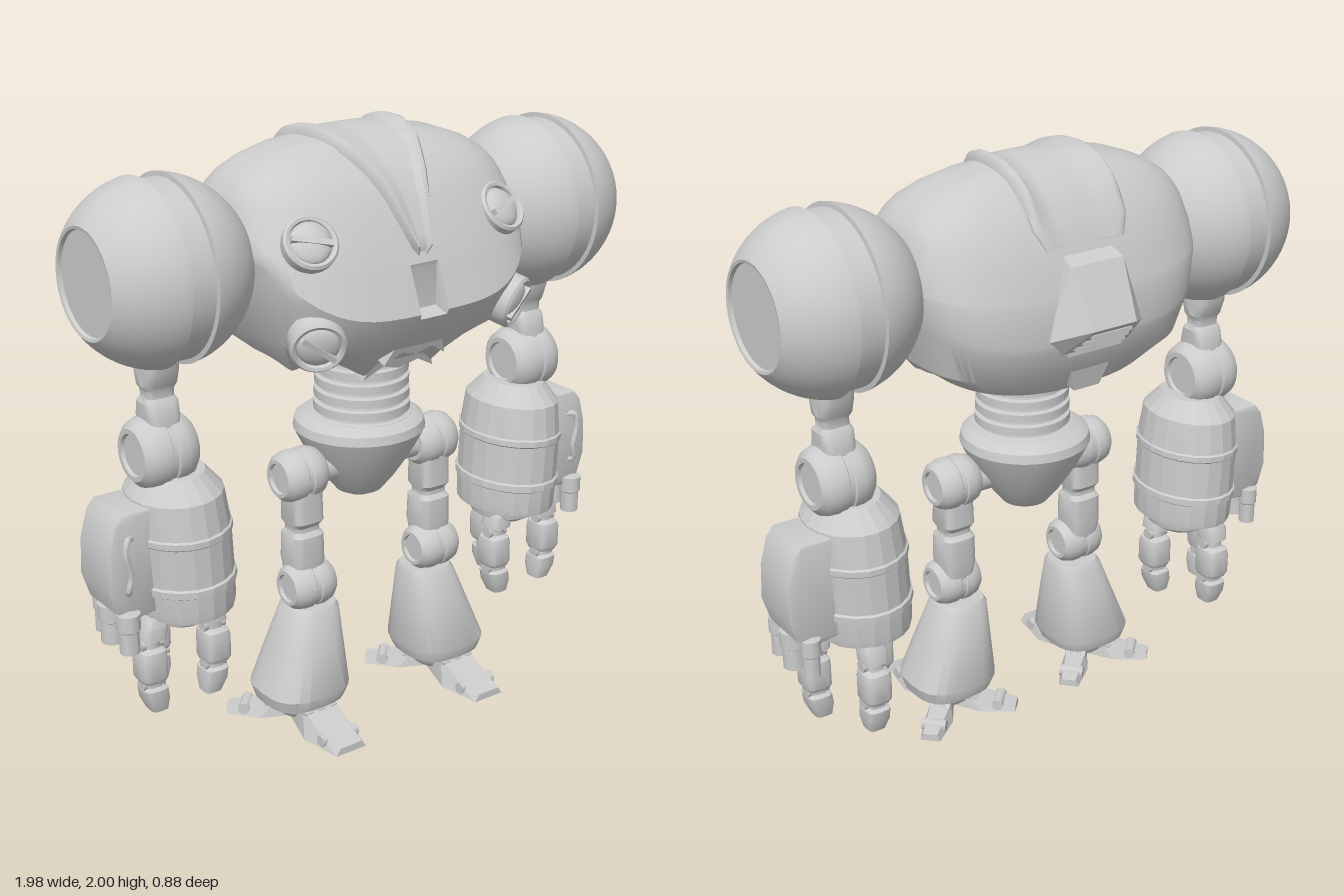
import * as THREE from 'three';
import { toCreasedNormals } from 'three/addons/utils/BufferGeometryUtils.js';
import { ConvexGeometry } from 'three/addons/geometries/ConvexGeometry.js';
import { RoundedBoxGeometry } from 'three/addons/geometries/RoundedBoxGeometry.js';

const mat = new THREE.MeshStandardMaterial({ color: 0xcccccc });
const V = (x, y, z) => new THREE.Vector3(x, y, z);

function add(parent, name, geo, pos = [0, 0, 0], rot = [0, 0, 0], crease = 0.62) {
  const m = new THREE.Mesh(toCreasedNormals(geo, crease), mat);
  m.name = name;
  m.position.set(...pos);
  m.rotation.set(...rot);
  parent.add(m);
}

// Skin over rows of points
function loft(rows, closed = true) {
  const n = rows[0].length, idx = [];
  for (let i = 0; i < rows.length - 1; i++) {
    for (let j = 0; j < (closed ? n : n - 1); j++) {
      const k = (j + 1) % n, a = i * n + j, b = i * n + k, c = a + n, d = b + n;
      idx.push(a, b, c, b, d, c);
    }
  }
  const g = new THREE.BufferGeometry().setFromPoints(rows.flat());
  g.setIndex(idx);
  g.computeVertexNormals();
  return g;
}
const spow = (v, p) => Math.sign(v) * Math.abs(v) ** p;

// Rounded-square column from rows [y, halfX, halfZ, centreX, centreZ], listed top to bottom
function column(rows, n = 4, seg = 24) {
  const cap = r => [r[0], 0.001, 0.001, r[3], r[4]];
  const all = [cap(rows[0]), ...rows, cap(rows[rows.length - 1])];
  return loft(all.map(([y, hx, hz, cx = 0, cz = 0]) => Array.from({ length: seg }, (_, j) => {
    const t = j / seg * Math.PI * 2;
    return V(cx + hx * spow(Math.cos(t), 2 / n), y, cz + hz * spow(Math.sin(t), 2 / n));
  })));
}
const lathe = (pts, seg = 40) => new THREE.LatheGeometry(pts.map(p => new THREE.Vector2(...p)), seg);
const convex = pts => new ConvexGeometry(pts.map(p => V(...p)));
// Rounded joint drum with recessed end faces
const drum = (r, h) => lathe([[0, 0.012 - h], [r * 0.55, 0.012 - h], [r * 0.58, -h], [r * 0.72, -h], [r * 0.9, -h * 0.8], [r, -h * 0.45],
  [r, -0.012], [r * 0.95, -0.008], [r * 0.95, 0.008], [r, 0.012],
  [r, h * 0.45], [r * 0.9, h * 0.8], [r * 0.72, h], [r * 0.58, h], [r * 0.55, h - 0.012], [0, h - 0.012]], 32);

// Piecewise linear lookup of column k in a table sorted by its first column
function look(tab, t, k = 1) {
  const up = tab[0][0] < tab[tab.length - 1][0];
  for (let i = 0; i < tab.length - 1; i++) {
    const a = tab[i], b = tab[i + 1];
    if (up ? t <= b[0] : t >= b[0]) {
      const u = THREE.MathUtils.clamp((t - a[0]) / (b[0] - a[0]), 0, 1);
      return a[k] + (b[k] - a[k]) * u;
    }
  }
  return tab[tab.length - 1][k];
}

// Torso levels: y, half width, front depth, back depth, lift towards the sides
const BODY = [
  [1.98, 0.01, 0.01, 0.01, 0], [1.968, 0.15, 0.07, 0.07, 0], [1.943, 0.31, 0.135, 0.13, 0], [1.91, 0.4, 0.185, 0.17, 0],
  [1.87, 0.46, 0.235, 0.21, 0], [1.835, 0.49, 0.265, 0.235, 0], [1.8, 0.508, 0.29, 0.26, 0], [1.7, 0.53, 0.345, 0.305, 0.03],
  [1.615, 0.535, 0.384, 0.33, 0.08], [1.6, 0.535, 0.39, 0.335, 0.09], [1.47, 0.52, 0.44, 0.345, 0.18], [1.452, 0.513, 0.431, 0.342, 0.16],
  [1.36, 0.47, 0.382, 0.315, 0.06], [1.27, 0.38, 0.255, 0.25, 0], [1.31, 0.33, 0.21, 0.21, 0], [1.31, 0.01, 0.01, 0.01, 0]];
const ZIG = [[0, 1.26], [0.08, 1.26], [0.13, 1.23], [0.2, 1.275], [0.28, 1.32], [0.35, 1.27], [0.4, 1.33]];
const N = 3.2;

function topY(x, z) {
  let lo = 1.48, hi = 1.98;
  for (let i = 0; i < 24; i++) {
    const y = (lo + hi) / 2, w = look(BODY, y, 1), d = look(BODY, y, z > 0 ? 2 : 3);
    if ((Math.abs(x) / w) ** N + (Math.abs(z) / d) ** N < 1) lo = y; else hi = y;
  }
  return lo;
}

function torso(g) {
  const angles = Array.from({ length: 72 }, (_, j) => j / 72 * Math.PI * 2);
  angles.push(...[-0.027, -0.023, 0.023, 0.027].map(a => Math.PI / 2 + a));
  angles.sort((a, b) => a - b);
  add(g, 'torsoShell', loft(BODY.map(([y, w, f, b, lift], i) => angles.map(t => {
    const c = Math.cos(t), s = Math.sin(t), x = w * spow(c, 2 / N);
    let z = (s > 0 ? f : b) * spow(s, 2 / N);
    let yy = y + lift * Math.min(1, Math.abs(x) / 0.5) ** 4 * (s > 0 ? 1 : 0.5);
    if (i === 13) yy = s > 0 ? look(ZIG, Math.abs(x)) : 1.27 + 0.05 * (x / 0.4) ** 2;
    if (s > 0 && Math.abs(c) < 0.025 && y < 1.61 && y > 1.46) z = Math.min(z, 0.38); // front slot
    return V(x, yy, z);
  }))));

  // Raised crest with a rim along both edges, tapering to the front
  const W = [[-0.28, 0.15], [-0.25, 0.18], [-0.1, 0.187], [0.05, 0.177], [0.15, 0.152], [0.25, 0.105], [0.32, 0.065], [0.36, 0.04], [0.38, 0.012]];
  const rows = [];
  for (let i = 0; i <= 44; i++) {
    const z = -0.28 + 0.66 * Math.max(0, i - 1) / 43, w = look(W, z), r = Math.min(0.05, w * 0.55);
    const cols = [[w, -0.02], [w - 0.004, 0.014], [w - r * 0.35, 0.028], [w - r * 0.65, 0.028], [w - r, 0.01]];
    for (let k = 1; k < 6; k++) cols.push([(w - r) * (1 - k / 3), 0.01]);
    cols.push([r * 0.65 - w, 0.028], [r * 0.35 - w, 0.028], [0.004 - w, 0.014], [-w, -0.02]);
    const fade = Math.min(1, 0.25 + (z + 0.28) / 0.12);
    rows.push(cols.map(([x, h]) => {
      const e = 0.01, n = V((topY(x - e, z) - topY(x + e, z)) / (2 * e), 1, (topY(x, z - e) - topY(x, z + e)) / (2 * e)).normalize();
      return V(x, topY(x, z), z).addScaledVector(n, i === 0 || i === 44 ? -0.02 : h * fade);
    }));
  }
  add(g, 'crest', loft(rows, false), [0, 0, 0], [0, 0, 0], 0.8);

  // Round lamps, each with a slotted dome
  for (const s of [1, -1]) {
    for (const [p, n, roll] of [[[0.37, 1.715, 0.302], [0.16, 0.6, 0.78], 0.3], [[0.385, 1.415, 0.362], [0.42, -0.28, 0.86], 0.6]]) {
      const lamp = new THREE.Group();
      lamp.name = 'lamp';
      lamp.position.set(p[0] * s, p[1], p[2]);
      lamp.quaternion.setFromUnitVectors(V(0, 0, 1), V(n[0] * s, n[1], n[2]).normalize());
      add(lamp, 'lampRim', lathe([[0.088, -0.05], [0.088, 0.012], [0.08, 0.02], [0.07, 0.016], [0.066, 0]]), [0, 0, 0], [Math.PI / 2, 0, 0]);
      add(lamp, 'lampDome', new THREE.SphereGeometry(0.068, 24, 12).scale(1, 1, 0.4));
      add(lamp, 'lampBar', new THREE.BoxGeometry(0.13, 0.018, 0.04), [0, 0, 0.01], [0, 0, roll * s]);
      g.add(lamp);
    }
  }

  // Mouth plates under the front lip
  for (const [name, w, y, h, z] of [['upperMouthPlate', 0.12, 1.325, 0.06, 0.3], ['chinPlate', 0.14, 1.255, 0.07, 0.215]]) {
    const sh = new THREE.Shape([[-w, -0.02], [-w * 0.8, h * 0.6], [-w * 0.3, h], [w * 0.3, h], [w * 0.8, h * 0.6], [w, -0.02], [w * 0.5, 0.02], [0, 0], [-w * 0.5, 0.02]]
      .map(p => new THREE.Vector2(...p)));
    add(g, name, new THREE.ExtrudeGeometry(sh, { depth: 0.05, bevelEnabled: false }), [0, y, z], [0.35, 0, 0]);
  }

  // Rear exhaust hood, its slats and the tail plate
  add(g, 'rearHood', convex([1, -1].flatMap(s => [[s * 0.09, 1.74, -0.27], [s * 0.1, 1.71, -0.34], [s * 0.08, 1.53, -0.44],
    [s * 0.19, 1.48, -0.33], [s * 0.15, 1.39, -0.29]])), [0, 0, 0], [0, 0, 0], 0.2);
  for (let i = 0; i < 4; i++) add(g, 'hoodSlat', new THREE.BoxGeometry(0.15 + i * 0.02, 0.012, 0.03), [0, 1.505 - i * 0.027, -0.41 + i * 0.03]);
  add(g, 'tailPlate', convex([1, -1].flatMap(s => [[s * 0.09, 1.4, -0.32], [s * 0.09, 1.4, -0.22], [s * 0.05, 1.28, -0.295], [s * 0.06, 1.3, -0.22]])), [0, 0, 0], [0, 0, 0], 0.2);
}

function waist(g) {
  const rib = [[0.13, 0.99]];
  for (let i = 0; i < 6; i++) {
    const y = 1.0 + i * 0.045, r = 0.163 - i * 0.002;
    rib.push([r - 0.015, y], [r, y + 0.004], [r, y + 0.032], [r - 0.015, y + 0.036]);
  }
  add(g, 'waistColumn', lathe([...rib, [0.13, 1.32]]), [0, 0, 0.06]);
  add(g, 'pelvis', lathe([[0, 0.73], [0.04, 0.735], [0.08, 0.755], [0.12, 0.805], [0.16, 0.865], [0.195, 0.925],
    [0.215, 0.965], [0.222, 0.98], [0.216, 1.01], [0.19, 1.03], [0.12, 1.035]]), [0, 0, 0.045]);
}

function leg(g, s) {
  const side = [0, 0, -s * Math.PI / 2];
  add(g, 'hipAxle', new THREE.CylinderGeometry(0.05, 0.05, 0.16, 24), [s * 0.16, 0.87, 0.07], side);
  add(g, 'hipJoint', drum(0.088, 0.08), [s * 0.272, 0.875, 0.08], side);
  add(g, 'thigh', column([[0.84, 0.055, 0.06], [0.72, 0.06, 0.06], [0.7, 0.05, 0.045], [0.685, 0.05, 0.045],
    [0.67, 0.06, 0.06], [0.58, 0.06, 0.065], [0.5, 0.05, 0.05]]), [s * 0.265, 0, 0.09]);
  add(g, 'kneeJoint', drum(0.082, 0.082), [s * 0.262, 0.49, 0.11], side);
  add(g, 'shin', column([[0.42, 0.08, 0.08, s * 0.245, 0.1], [0.405, 0.09, 0.092, s * 0.247, 0.1], [0.28, 0.118, 0.122, s * 0.268, 0.103],
    [0.13, 0.155, 0.15, s * 0.293, 0.106], [0.085, 0.14, 0.135, s * 0.296, 0.106], [0.1, 0.12, 0.115, s * 0.296, 0.106]], 2.8));
  const foot = new THREE.Group();
  foot.name = 'foot';
  foot.position.set(s * 0.295, 0, 0.108);
  add(foot, 'ankle', new THREE.SphereGeometry(0.1, 24, 16).scale(1, 0.7, 1), [0, 0.075, 0]);
  // One long front toe and two shorter, flatter ones spread backwards
  for (const [a, len, w, h] of [[0, 0.3, 0.085, 0.09], [2.33, 0.25, 0.05, 0.055], [-2.33, 0.25, 0.05, 0.055]]) {
    const toe = new THREE.Group();
    toe.name = 'toe';
    toe.rotation.y = a;
    add(toe, 'toePad', convex([1, -1].flatMap(k => [[k * w * 0.5, 0.01, 0], [k * w, 0, len * 0.5], [k * w * 0.7, 0, len],
      [k * w * 0.5, h, 0.02], [k * w * 0.7, h * 0.94, len * 0.35], [k * w * 0.5, 0.025, len]])), [0, 0, 0], [0, 0, 0], 0.2);
    for (const k of [-1, 0, 1]) add(toe, 'toeTendon', new RoundedBoxGeometry(w * 0.4, 0.03, 0.07, 2, 0.008), [k * w * 0.55, h * 0.94, len * 0.33], [0.5, 0, 0]);
    add(toe, 'toeKnuckle', new THREE.CylinderGeometry(0.02, 0.02, w * 1.7, 16), [0, 0.025, len * 0.75], [0, 0, Math.PI / 2]);
    foot.add(toe);
  }
  g.add(foot);
}

function arm(g, s) {
  const side = [0, 0, -s * Math.PI / 2];
  // Shoulder ball with a sunken band and flat outer face
  const R = 0.297, prof = [];
  const arc = (a, b) => { for (let i = 0; i <= 14; i++) { const t = a + (b - a) * i / 14; prof.push([Math.sqrt(R * R - t * t), t]); } };
  prof.push([0, -0.25]);
  arc(-0.25, -0.045);
  prof.push([0.278, -0.043], [0.278, 0.043]);
  arc(0.045, 0.242);
  prof.push([0.163, 0.24], [0.16, 0.228], [0, 0.228]);
  add(g, 'shoulder', lathe(prof, 56), [s * 0.742, 1.632, 0.028], side);
  add(g, 'upperArm', column([[1.4, 0.055, 0.075], [1.33, 0.056, 0.07], [1.275, 0.058, 0.045], [1.26, 0.048, 0.038], [1.235, 0.048, 0.038],
    [1.22, 0.058, 0.05], [1.17, 0.056, 0.065], [1.08, 0.05, 0.06]]), [s * 0.747, 0, 0.015]);
  add(g, 'elbowJoint', drum(0.118, 0.098), [s * 0.747, 1.055, 0.012], side);

  const f = new THREE.Group();
  f.name = 'forearm';
  f.position.set(s * 0.695, 0.75, 0.015);
  f.rotation.z = -s * 0.05;
  add(f, 'forearmDrum', lathe([[0, -0.235], [0.14, -0.235], [0.16, -0.23], [0.163, -0.21], [0.165, -0.14], [0.172, -0.135], [0.172, -0.112], [0.165, -0.107],
    [0.165, 0.03], [0.17, 0.035], [0.17, 0.055], [0.164, 0.06], [0.152, 0.17], [0.1, 0.235], [0, 0.24]], 20).scale(1, 1, 1.2), [0, 0, 0], [0, 0, 0], 0.2);
  add(f, 'wristCup', lathe([[0, -0.3], [0.08, -0.295], [0.12, -0.27], [0.13, -0.23]], 32));
  g.add(f);

  // Outer weapon pod with a curved pipe and three barrels
  const pod = new THREE.Shape([[0.82, 0.9], [0.93, 0.9], [0.955, 0.87], [0.98, 0.78], [0.985, 0.66], [0.96, 0.58], [0.9, 0.55], [0.82, 0.56]]
    .map(p => new THREE.Vector2(s * p[0], p[1])));
  add(g, 'weaponPod', new THREE.ExtrudeGeometry(pod, { depth: 0.17, bevelSize: 0.006, bevelThickness: 0.01, bevelSegments: 2 }), [0, 0, -0.08]);
  const pipe = new THREE.CatmullRomCurve3([[0.9, 0.82, 0.09], [0.925, 0.825, 0.11], [0.935, 0.78, 0.115], [0.92, 0.7, 0.115], [0.93, 0.65, 0.11], [0.915, 0.64, 0.09]]
    .map(p => V(s * p[0], p[1], p[2])));
  add(g, 'podPipe', new THREE.TubeGeometry(pipe, 24, 0.01, 8));
  for (const [z, r, x] of [[0.1, 0.038, 0.93], [0, 0.045, 0.935], [-0.085, 0.033, 0.92]]) {
    add(g, 'barrel', lathe([[0, 0.48], [r * 0.6, 0.48], [r * 0.65, 0.44], [r * 0.85, 0.44], [r * 0.85, 0.515], [r, 0.52], [r, 0.575], [0, 0.58]], 20), [s * x, 0, z]);
  }

  // Two front fingers and an opposing thumb
  const digit = [[0.52, 0.03], [0.49, 0.042], [0.445, 0.042], [0.435, 0.026], [0.415, 0.026], [0.405, 0.043], [0.385, 0.047], [0.31, 0.047], [0.295, 0.04],
    [0.29, 0.028], [0.275, 0.028], [0.268, 0.042], [0.23, 0.042], [0.185, 0.03], [0.18, 0.02]];
  for (const [name, x, z, lean] of [['finger', 0.82, 0.06, 0.02], ['finger', 0.62, 0.06, -0.02], ['thumb', 0.72, -0.112, 0]]) {
    const bow = y => Math.sin((0.52 - y) / 0.34 * Math.PI);
    const rows = digit.map(([y, h]) => [y, h, h * 1.1, s * lean * bow(y), name === 'thumb' ? -0.015 * bow(y) : 0]);
    add(g, name, column(rows, 4, 16), [s * x, 0, z]);
    for (const y of [0.425, 0.283]) add(g, 'fingerHinge', new THREE.CylinderGeometry(0.022, 0.022, 0.08, 12), [s * (x + lean * 0.8), y, z], side);
  }
}

export function createModel() {
  const root = new THREE.Group();
  root.name = 'robot';
  const part = (name, build, ...args) => {
    const g = new THREE.Group();
    g.name = name;
    build(g, ...args);
    root.add(g);
  };
  part('torso', torso);
  part('waist', waist);
  for (const s of [1, -1]) {
    const label = s > 0 ? 'left' : 'right';
    part(label + 'Leg', leg, s);
    part(label + 'Arm', arm, s);
  }
  return root;
}
